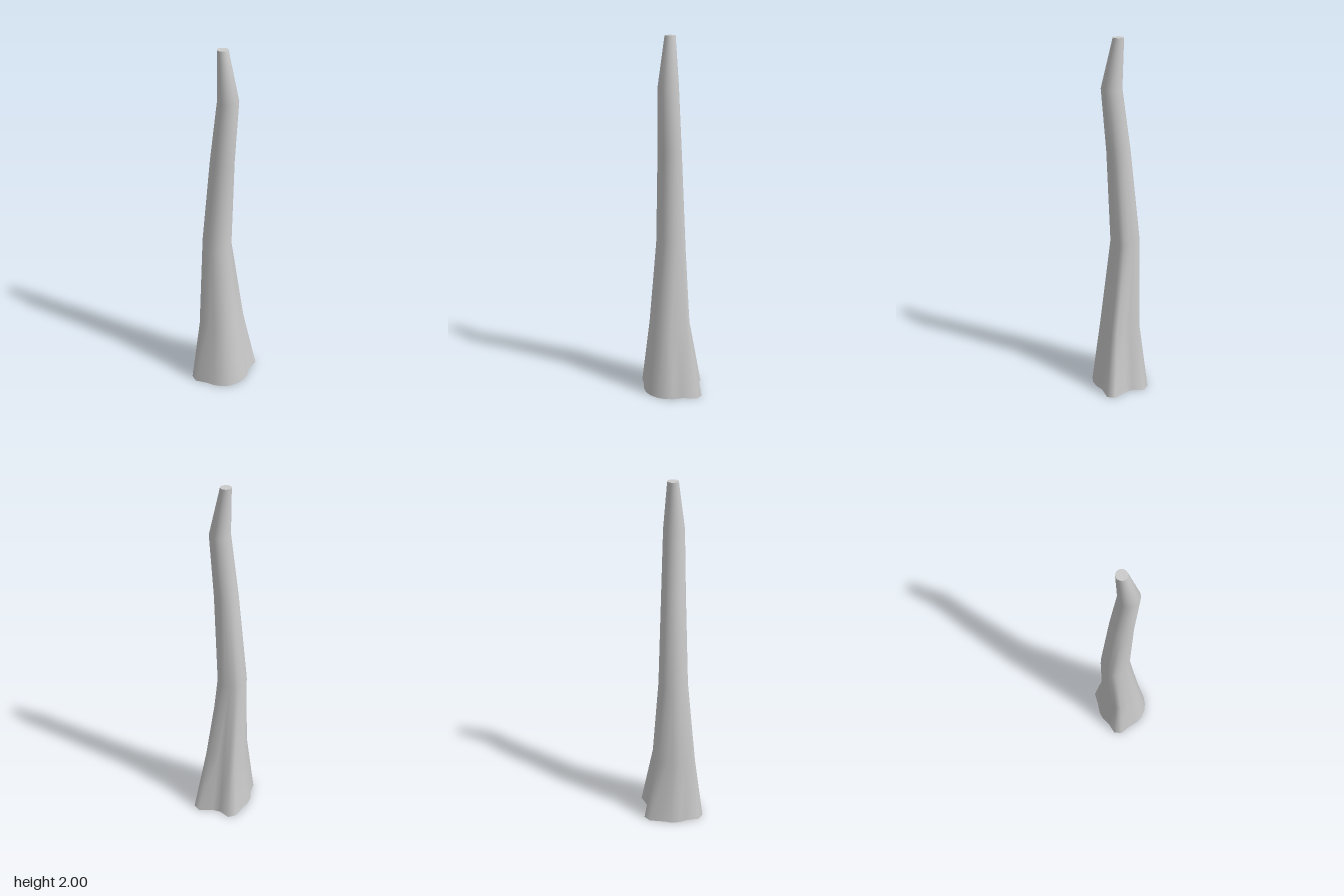
import * as THREE from 'three';

// Flared root outline (x, z), relative to the trunk axis
const ROOT = [
  [0.153, 0], [0.145, 0.049], [0.123, 0.093], [0.091, 0.125], [0.046, 0.147],
  [0, 0.156], [-0.066, 0.181], [-0.107, 0.161], [-0.123, 0.093], [-0.146, 0.049],
  [-0.153, 0], [-0.145, -0.05], [-0.141, -0.126], [-0.109, -0.159], [-0.046, -0.144],
  [0, -0.153], [0.073, -0.194], [0.114, -0.175], [0.123, -0.091], [0.146, -0.044],
];
const ROOT_RADIUS = 0.153;
const SIDES = ROOT.length;

// Cross-sections up the trunk; lobe is how much of the root outline remains
const RINGS = [
  { y: 0, x: 0, z: 0.005, r: 0.153, lobe: 1 },
  { y: 0.38, x: -0.008, z: 0.015, r: 0.108, lobe: 0.75 },
  { y: 0.88, x: -0.04, z: 0.01, r: 0.081, lobe: 0.1 },
  { y: 1.4, x: -0.002, z: 0.009, r: 0.065, lobe: 0 },
  { y: 1.74, x: 0.035, z: 0.009, r: 0.056, lobe: 0 },
  { y: 2, x: -0.001, z: 0.006, r: 0.029, lobe: 0 },
];

function ringPoints({ y, x, z, r, lobe }) {
  return ROOT.map(([px, pz], i) => {
    const a = (i / SIDES) * Math.PI * 2;
    return [
      x + r * THREE.MathUtils.lerp(Math.cos(a), px / ROOT_RADIUS, lobe),
      y,
      z + r * THREE.MathUtils.lerp(Math.sin(a), pz / ROOT_RADIUS, lobe),
    ];
  });
}

function makeGeometry(points, index) {
  const geometry = new THREE.BufferGeometry();
  geometry.setAttribute('position', new THREE.Float32BufferAttribute(points.flat(), 3));
  geometry.setIndex(index);
  geometry.computeVertexNormals();
  return geometry;
}

// Smooth skin joining neighbouring rings
function barkGeometry() {
  const index = [];
  for (let j = 0; j < RINGS.length - 1; j++) {
    for (let i = 0; i < SIDES; i++) {
      const next = (i + 1) % SIDES;
      const a = j * SIDES + i, b = j * SIDES + next;
      index.push(a, a + SIDES, b, b, a + SIDES, b + SIDES);
    }
  }
  return makeGeometry(RINGS.flatMap(ringPoints), index);
}

// Flat fan closing one ring
function capGeometry(ring, facesUp) {
  const index = [];
  for (let i = 0; i < SIDES; i++) {
    const next = (i + 1) % SIDES;
    index.push(SIDES, facesUp ? next : i, facesUp ? i : next);
  }
  return makeGeometry([...ringPoints(ring), [ring.x, ring.y, ring.z]], index);
}

export function createModel() {
  const group = new THREE.Group();
  group.name = 'treeTrunk';
  const material = new THREE.MeshStandardMaterial({ color: 0xcccccc });
  const add = (name, geometry) => {
    const mesh = new THREE.Mesh(geometry, material);
    mesh.name = name;
    group.add(mesh);
  };
  add('bark', barkGeometry());
  add('rootBase', capGeometry(RINGS[0], false));
  add('cutTop', capGeometry(RINGS[RINGS.length - 1], true));
  return group;
}
